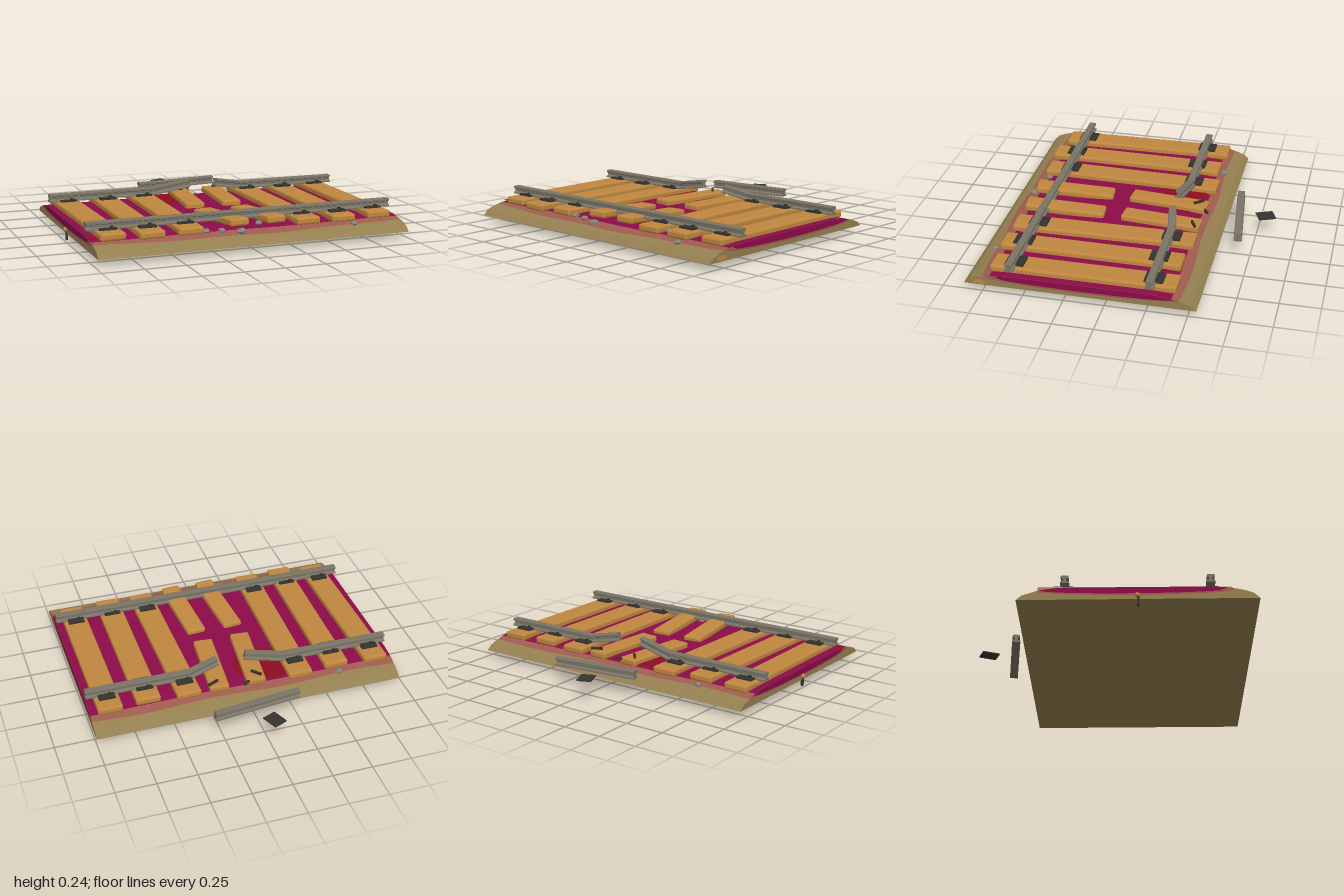
import * as THREE from 'three';
import { RoundedBoxGeometry } from 'three/addons/geometries/RoundedBoxGeometry.js';

const mat = (name, color, opts = {}) => {
  const m = new THREE.MeshStandardMaterial({ color, ...opts });
  m.name = name;
  return m;
};

export function createModel() {
  const group = new THREE.Group();
  const earth = mat('earth tan', 0x947f4f, { flatShading: true });
  const blend = mat('dusty pink', 0x9f5b50);
  const ground = mat('crimson ground', 0x8c0a48);
  const stain = mat('dark red stain', 0x8c0d20);
  const wood = mat('sleeper wood', 0xc0873f, { flatShading: true });
  const steel = mat('rail steel', 0x7a7466, { flatShading: true });
  const iron = mat('dark iron', 0x34332f, { flatShading: true });
  const rock = mat('stone grey', 0x85857a, { flatShading: true });

  const add = (name, geo, material, x = 0, y = 0, z = 0) => {
    const m = new THREE.Mesh(geo, material);
    m.name = name;
    m.position.set(x, y, z);
    group.add(m);
    return m;
  };

  // Embankment cross-section as [z, y]
  const profile = [[-0.55, 0.04], [-0.515, 0.07], [-0.455, 0.09], [-0.4, 0.105], [-0.3, 0.117],
    [0.6, 0.117], [0.7, 0.108], [0.78, 0.092], [0.83, 0.073], [0.865, 0.04]];
  const heightAt = z => {
    for (let i = 1; i < profile.length; i++) {
      const [z0, y0] = profile[i - 1], [z1, y1] = profile[i];
      if (z <= z1) return y0 + (y1 - y0) * Math.max(0, z - z0) / (z1 - z0);
    }
    return 0.04;
  };
  const X0 = -0.98, X1 = 1;

  // A ground band between two edge curves z = f(x)
  const band = (name, from, to, material, rows) => {
    const cols = 40, pos = [], idx = [];
    for (let i = 0; i <= cols; i++) {
      const x = X0 + (X1 - X0) * i / cols;
      for (let j = 0; j <= rows; j++) {
        const z = from(x) + (to(x) - from(x)) * j / rows;
        pos.push(x, heightAt(z), z);
        if (i < cols && j < rows) {
          const a = i * (rows + 1) + j, c = a + rows + 1;
          idx.push(a, a + 1, c + 1, a, c + 1, c);
        }
      }
    }
    const g = new THREE.BufferGeometry();
    g.setAttribute('position', new THREE.Float32BufferAttribute(pos, 3));
    g.setIndex(idx);
    g.computeVertexNormals();
    add(name, g, material);
  };
  const at = z => () => z;
  const backOuter = x => -0.452 + 0.008 * Math.sin(x * 7);
  const backInner = x => -0.398 + 0.004 * Math.sin(x * 5);
  const frontInner = x => 0.705 + 0.004 * Math.sin(x * 6);
  const frontOuter = x => 0.785 - 0.04 * x * x + 0.006 * Math.sin(x * 9);
  band('backLowerSlope', at(-0.55), at(-0.515), earth, 1);
  band('backUpperSlope', at(-0.515), backOuter, earth, 2);
  band('backBlend', backOuter, backInner, blend, 3);
  band('trackGround', backInner, frontInner, ground, 24);
  band('frontBlend', frontInner, frontOuter, blend, 3);
  band('frontUpperSlope', frontOuter, at(0.83), earth, 3);
  band('frontLowerSlope', at(0.83), at(0.865), earth, 1);
  const base = new THREE.PlaneGeometry(X1 - X0, 1.415).rotateX(Math.PI / 2);
  add('embankmentBase', base, earth, 0.01, 0.04, 0.1575);

  // Embankment ends with coloured lens-shaped layers
  const lens = (zA, zB, bottom) => {
    const pts = [], n = 24;
    for (let i = 0; i <= n; i++) {
      const z = zA + (zB - zA) * i / n;
      pts.push([z, heightAt(z)]);
    }
    for (let i = n - 1; i > 0; i--) {
      const z = zA + (zB - zA) * i / n, t = 2 * i / n - 1;
      pts.push([z, Math.min(heightAt(z), 0.1 - (0.1 - bottom) * Math.sqrt(1 - t * t))]);
    }
    return pts;
  };
  for (const side of [1, -1]) {
    const face = (name, pts, material, offset) => {
      const shape = new THREE.Shape(pts.map(([z, y]) => new THREE.Vector2(-side * z, y)));
      const g = new THREE.ShapeGeometry(shape).rotateY(side * Math.PI / 2);
      add(name, g, material, (side > 0 ? X1 : X0) + side * offset);
    };
    face('embankmentEnd', profile, earth, 0);
    face('endBlend', lens(-0.45, 0.74, 0.066), blend, 0.001);
    face('endGround', lens(-0.42, 0.68, 0.077), ground, 0.002);
  }
  const patch = new THREE.CircleGeometry(1, 16).scale(0.042, 0.014, 1).rotateY(Math.PI / 2);
  add('endPatch', patch, wood, 1.002, 0.062, 0.768);

  // Stains on the ground
  const disc = (rx, rz) => new THREE.CircleGeometry(1, 28).rotateX(-Math.PI / 2).scale(rx, 1, rz);
  add('largeStain', disc(0.2, 0.165), stain, -0.175, 0.119, -0.235);
  add('cornerStain', new THREE.PlaneGeometry(0.06, 0.06).rotateX(-Math.PI / 2), stain, -0.95, 0.118, 0.665);

  // Sleepers run between two points at their centre line
  const sleeper = (name, a, b, width) => {
    const p = new THREE.Vector3(...a), q = new THREE.Vector3(...b);
    const m = add(name, new RoundedBoxGeometry(width, 0.045, p.distanceTo(q), 1, 0.012), wood);
    m.position.copy(p).lerp(q, 0.5);
    m.lookAt(q);
  };
  const y = 0.128;
  const whole = [[-0.863, -0.43, -0.845, 0.715], [-0.602, -0.41, -0.615, 0.75], [-0.35, -0.44, -0.372, 0.735],
    [0.375, -0.425, 0.388, 0.73], [0.63, -0.4, 0.622, 0.735], [0.873, -0.42, 0.873, 0.715]];
  for (const [xa, za, xb, zb] of whole) sleeper('sleeper', [xa, y, za], [xb, y, zb], 0.157);
  for (const [outer, inner] of [[-0.06, -0.112], [0.18, 0.137]]) {
    sleeper('brokenSleeperBack', [outer, y, -0.42], [inner, y, 0.09], 0.125);
    sleeper('brokenSleeperFront', [inner, 0.121, 0.21], [outer, 0.154, 0.72], 0.125);
  }

  // Rails: I-section swept between points
  const half = [[0.026, 0], [0.026, 0.008], [0.01, 0.016], [0.01, 0.03], [0.023, 0.035], [0.023, 0.046], [0.019, 0.05]];
  const section = new THREE.Shape([...half, ...half.map(([u, v]) => [-u, v]).reverse()]
    .map(([u, v]) => new THREE.Vector2(u, v)));
  const rail = (name, points) => {
    for (let i = 1; i < points.length; i++) {
      const p = new THREE.Vector3(...points[i - 1]), q = new THREE.Vector3(...points[i]);
      const g = new THREE.ExtrudeGeometry(section, { depth: p.distanceTo(q), bevelEnabled: false });
      add(name, g, steel, ...p.toArray()).lookAt(q);
    }
  };
  rail('frontRail', [[X0, 0.15, 0.583], [X1, 0.15, 0.583]]);
  rail('bentRailRight', [[X0, 0.15, -0.268], [-0.28, 0.15, -0.268], [-0.035, 0.193, -0.236]]);
  rail('bentRailLeft', [[X1, 0.15, -0.268], [0.33, 0.15, -0.268], [0.137, 0.186, -0.23]]);
  rail('looseRail', [[-0.27, 0.115, -0.61], [0.29, 0.115, -0.675]]);

  // Tie plates with spikes either side of each rail
  whole.forEach(([xa, za, xb, zb], i) => {
    for (const [railZ, z] of [[-0.268, i % 3 === 1 ? -0.255 : -0.278], [0.583, i % 3 === 1 ? 0.597 : 0.572]]) {
      const x = xa + (xb - xa) * (z - za) / (zb - za);
      add('tiePlate', new THREE.BoxGeometry(0.105, 0.012, 0.115), iron, x, 0.156, z);
      for (const s of [-1, 1])
        add('spike', new THREE.BoxGeometry(0.018, 0.016, 0.018), iron, x + s * 0.022, 0.164, railZ + s * 0.033);
    }
  });
  const loosePlate = add('loosePlate', new THREE.BoxGeometry(0.09, 0.008, 0.11), iron, -0.045, 0.127, -0.803);
  loosePlate.rotation.y = 0.4;

  // Scattered spikes
  for (const [x, h, z, turn] of [[-0.077, 0.157, -0.363, -0.85], [-0.005, 0.14, -0.415, 0.6], [0.21, 0.157, -0.38, 0.45]])
    add('looseSpike', new THREE.BoxGeometry(0.075, 0.014, 0.014), iron, x, h, z).rotation.y = turn;

  // Stones
  const stones = [[-0.61, -0.44, 0.024], [-0.27, 0.7, 0.025], [-0.175, 0.712, 0.025], [-0.06, 0.742, 0.032],
    [0.67, 0.77, 0.024], [-0.765, 0.645, 0.023], [0.095, 0.635, 0.026], [0.468, 0.64, 0.024]];
  stones.forEach(([x, z, r], i) => {
    const s = add('stone', new THREE.IcosahedronGeometry(r, 0), rock, x, heightAt(z) + 0.006, z);
    s.scale.y = 0.7;
    s.rotation.y = i * 1.3;
  });

  // Small marker post at the right end
  add('markerPost', new THREE.BoxGeometry(0.014, 0.06, 0.014), iron, -0.979, 0.03, 0.16);
  add('markerHead', new THREE.SphereGeometry(0.016, 10, 8), wood, -0.984, 0.064, 0.157);

  return group;
}
